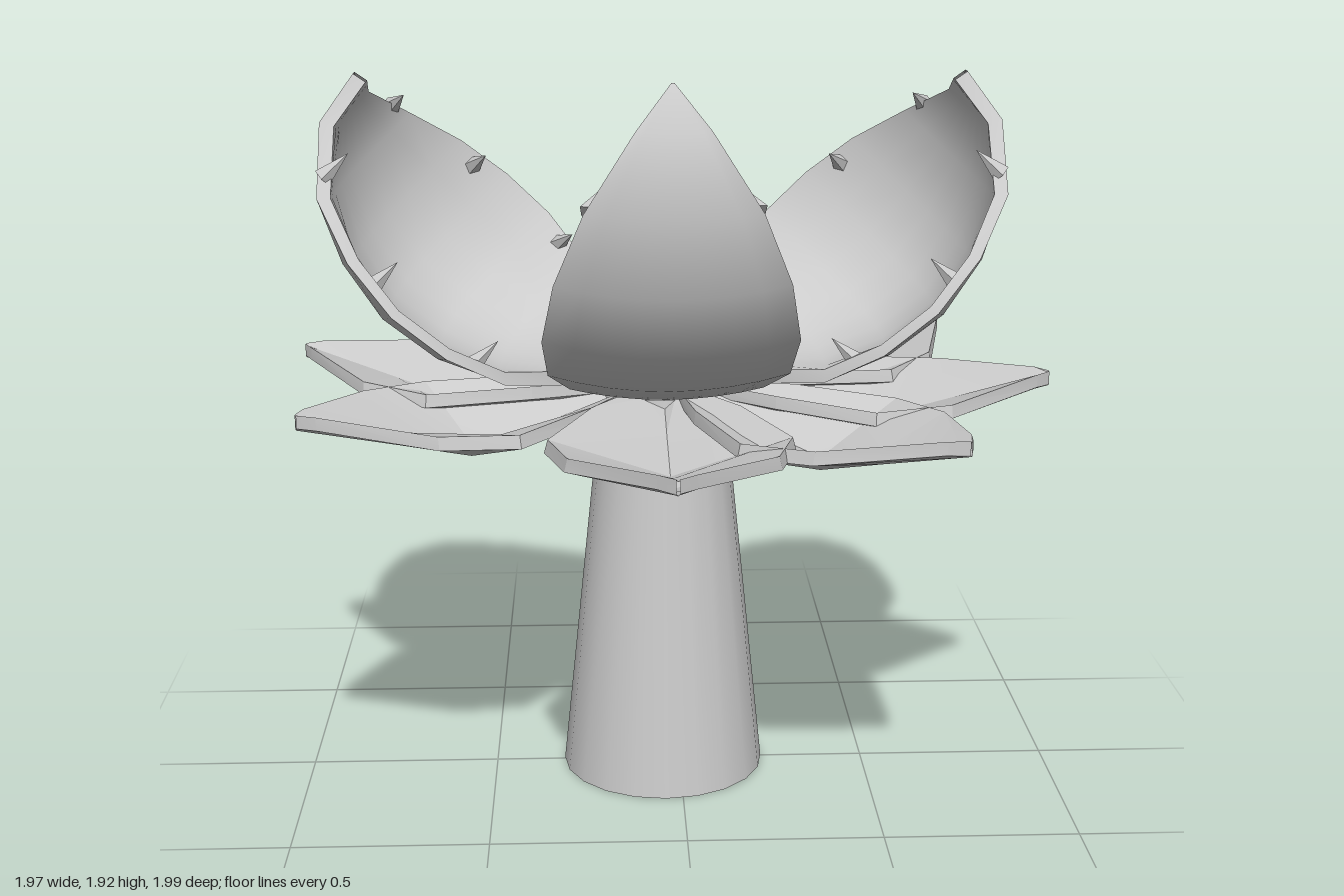
import * as THREE from 'three';
import { toCreasedNormals } from 'three/addons/utils/BufferGeometryUtils.js';

const material = new THREE.MeshStandardMaterial({ color: 0xcccccc, side: THREE.DoubleSide });
const flat = new THREE.MeshStandardMaterial({ color: 0xcccccc, side: THREE.DoubleSide, flatShading: true });
const V = (x, y, z) => new THREE.Vector3(x, y, z);

function part(name, geometry, mat = material) {
  const mesh = new THREE.Mesh(geometry, mat);
  mesh.name = name;
  return mesh;
}

// Skin over closed cross-section loops with equal point counts
function loft(loops, crease) {
  const n = loops[0].length, index = [];
  for (let i = 0; i < loops.length - 1; i++) {
    for (let j = 0; j < n; j++) {
      const a = i * n + j, b = i * n + (j + 1) % n;
      index.push(a, a + n, b, b, a + n, b + n);
    }
  }
  const geometry = new THREE.BufferGeometry().setFromPoints(loops.flat());
  geometry.setIndex(index);
  geometry.computeVertexNormals();
  return toCreasedNormals(geometry, crease);
}

// Cupped petal midline: distance along, depth, half-width
const PETAL = [
  [0.02, 0.0, 0.05], [0.1, 0.12, 0.15], [0.22, 0.245, 0.24], [0.383, 0.335, 0.29],
  [0.56, 0.37, 0.3], [0.736, 0.335, 0.27], [0.906, 0.25, 0.2], [1.04, 0.11, 0.085], [1.07, -0.01, 0.004],
];
const THICK = 0.04, COLS = 8;

// u runs base to tip, v across, n out of the cup's back
function petal(name, { origin, u, v, length, width, curl, teeth }) {
  const group = new THREE.Group();
  group.name = name;
  u.normalize();
  const n = u.clone().cross(v).normalize();
  v = n.clone().cross(u);
  const at = (a, d, w) => origin.clone().addScaledVector(u, a * length)
    .addScaledVector(n, d - curl * w * w).addScaledVector(v, w);
  const loops = PETAL.map(([a, d, hw], i) => {
    const p = PETAL[Math.max(i - 1, 0)], q = PETAL[Math.min(i + 1, PETAL.length - 1)];
    const len = Math.hypot(q[0] - p[0], q[1] - p[1]);
    const na = (q[1] - p[1]) / len * THICK, nd = -(q[0] - p[0]) / len * THICK;
    const outer = [], inner = [];
    for (let j = 0; j <= COLS; j++) {
      const w = (j / COLS * 2 - 1) * hw * width;
      outer.push(at(a, d, w));
      inner.unshift(at(a + na, d + nd, w * 0.95));
    }
    return [...outer, ...inner];
  });
  group.add(part('petalShell', loft(loops, 0.8)));

  // Thorns just inside the rim, pointing into the cup
  for (const side of [-1, 1]) {
    for (const row of teeth) {
      const i = Math.floor(row), f = row - i;
      const [a, d, hw] = PETAL[i].map((x, k) => x + (PETAL[i + 1][k] - x) * f);
      const w = side * hw * width * 0.88;
      const dir = n.clone().negate().addScaledVector(v, -side * 0.45).normalize();
      const thorn = part('thorn', new THREE.ConeGeometry(0.026, 0.09, 5), flat);
      thorn.position.copy(at(a, d - THICK, w)).addScaledVector(dir, 0.035);
      thorn.quaternion.setFromUnitVectors(V(0, 1, 0), dir);
      group.add(thorn);
    }
  }
  return group;
}

// Keeled leaf: radius, half-width, edge height, keel height
const LEAF = [
  [0.08, 0.04, 1.05, 1.02], [0.3, 0.19, 1.05, 0.98], [0.55, 0.3, 1.04, 0.945],
  [0.74, 0.25, 1.05, 1.0], [0.97, 0.045, 1.08, 1.065], [1.005, 0.004, 1.08, 1.075],
];
function leafGeometry() {
  const t = 0.033;
  return loft(LEAF.map(([r, w, e, k]) => [
    V(w, e, r), V(0, k, r), V(-w, e, r),
    V(-w * 0.97, e + t, r), V(0, k + t, r), V(w * 0.97, e + t, r),
  ]), 0.2);
}

export function createModel() {
  const model = new THREE.Group();
  const plant = new THREE.Group();
  plant.name = 'plant';
  plant.position.set(-0.045, 0, -0.01);
  model.add(plant);

  // Hollow tapering stem
  const stem = part('stem', new THREE.CylinderGeometry(0.16, 0.27, 1.06, 20, 1, true));
  stem.position.y = 0.53;
  plant.add(stem);

  // Ring of leaves with one gap
  const leaf = leafGeometry();
  for (const angle of [90, 47, 5.6, -36, -78, -120.4, -164, -207]) {
    const mesh = part('leaf', leaf);
    mesh.rotation.y = THREE.MathUtils.degToRad(90 - angle);
    plant.add(mesh);
  }

  // Front petal and the two wider, twisted side petals
  plant.add(petal('frontPetal', {
    origin: V(0, 1.1, 0.01), u: V(0, 0.76, 0.64), v: V(-1, 0, 0),
    length: 1, width: 1, curl: 0.6, teeth: [3.2, 5.9],
  }));
  for (const s of [1, -1]) {
    plant.add(petal(s > 0 ? 'leftPetal' : 'rightPetal', {
      origin: V(0.095 * s, 1.12, -0.04), u: V(0.68 * s, 0.735, 0), v: V(0.33, -0.26 * s, 0.9 * s),
      length: 0.95, width: 1.38, curl: 1.36, teeth: [2.6, 4.5, 6.2],
    }));
  }

  // Six-sided cup with a pit at the heart of the flower
  const profile = [[0.05, 1.04], [0.05, 1.17], [0.12, 1.18], [0.172, 1.23], [0.165, 1.26], [0.095, 1.305], [0.06, 1.25], [0, 1.24]];
  const heart = part('heart', toCreasedNormals(
    new THREE.LatheGeometry(profile.map(([r, y]) => new THREE.Vector2(r, y)), 6, Math.PI / 2), 0.5));
  plant.add(heart);
  const pistil = part('pistil', new THREE.ConeGeometry(0.04, 0.05, 6), flat);
  pistil.position.y = 1.265;
  plant.add(pistil);

  return model;
}
